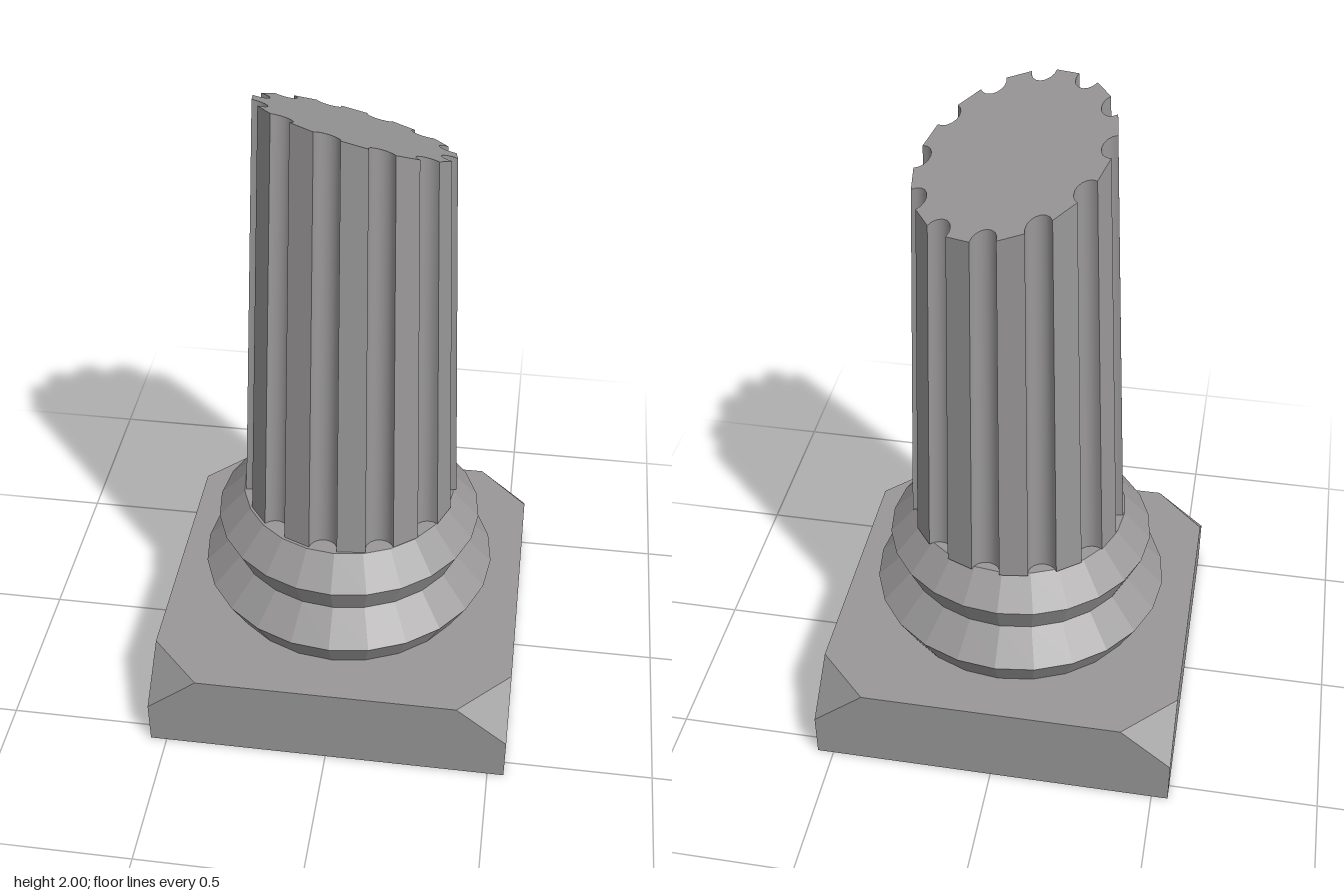
import * as THREE from 'three';
import { toCreasedNormals } from 'three/addons/utils/BufferGeometryUtils.js';
import { ConvexGeometry } from 'three/addons/geometries/ConvexGeometry.js';

const stone = new THREE.MeshStandardMaterial({ color: 0x999797 });
stone.name = 'grey stone';

function part(name, geometry) {
  const mesh = new THREE.Mesh(geometry, stone);
  mesh.name = name;
  return mesh;
}

// Square block whose four upper corners are cut away
function plinthGeometry() {
  const h = 0.55, cut = 0.155, top = 0.272, drop = 0.13;
  const points = [];
  for (const sx of [-1, 1]) {
    for (const sz of [-1, 1]) {
      points.push(
        new THREE.Vector3(sx * h, 0, sz * h),
        new THREE.Vector3(sx * h, top - drop, sz * h),
        new THREE.Vector3(sx * (h - cut), top, sz * h),
        new THREE.Vector3(sx * h, top, sz * (h - cut)),
      );
    }
  }
  return new ConvexGeometry(points);
}

// Two faceted, angular rings, closed on top
function ringsGeometry() {
  const profile = [
    [0.4, 0.27], [0.455, 0.37], [0.365, 0.462], [0.407, 0.555], [0.325, 0.645], [0, 0.645],
  ].map(([r, y]) => new THREE.Vector2(r, y));
  const geometry = new THREE.LatheGeometry(profile, 24).toNonIndexed();
  geometry.computeVertexNormals();
  return geometry;
}

// Unit outline of the shaft: flat lands alternating with half-round flutes
function flutedOutline(flutes = 12, arcSteps = 8) {
  const half = Math.PI / flutes / 2;
  const w = Math.sin(half);
  const outline = [];
  for (let i = 0; i < flutes; i++) {
    const mid = (i * 2 * Math.PI) / flutes + half;
    for (let k = 0; k <= arcSteps; k++) {
      const phi = (Math.PI * k) / arcSteps;
      const radial = Math.cos(half) - w * Math.sin(phi);
      const side = -w * Math.cos(phi);
      outline.push(new THREE.Vector2(radial, side).rotateAround(new THREE.Vector2(), mid));
    }
  }
  return outline;
}

// Tapered shaft, cut off by a sloping break plane
function shaftGeometry() {
  const outline = flutedOutline();
  const n = outline.length;
  const y0 = 0.645, y1 = 2;
  const bottom = outline.map(p => new THREE.Vector3(0.006 + 0.328 * p.x, y0, -0.01 + 0.328 * p.y));
  const normal = new THREE.Vector3(0.27, 1, -0.38);
  const level = normal.dot(new THREE.Vector3(0.013, 1.877, -0.018));
  const top = outline.map((p, i) => {
    const end = new THREE.Vector3(0.013 + 0.27 * p.x, y1, -0.018 + 0.27 * p.y);
    const a = normal.dot(bottom[i]);
    return bottom[i].clone().lerp(end, (level - a) / (normal.dot(end) - a));
  });

  const index = [];
  for (let i = 0; i < n; i++) {
    const j = (i + 1) % n;
    index.push(i, n + i, j, n + i, n + j, j);
  }
  const flat = top.map(p => new THREE.Vector2(p.x, p.z));
  for (const [a, b, c] of THREE.ShapeUtils.triangulateShape(flat, [])) {
    index.push(n + a, n + c, n + b);
  }
  const geometry = new THREE.BufferGeometry().setFromPoints([...bottom, ...top]);
  geometry.setIndex(index);
  return toCreasedNormals(geometry, 0.6);
}

export function createModel() {
  const model = new THREE.Group();
  model.name = 'brokenColumn';
  model.add(
    part('plinth', plinthGeometry()),
    part('baseRings', ringsGeometry()),
    part('flutedShaft', shaftGeometry()),
  );
  return model;
}
